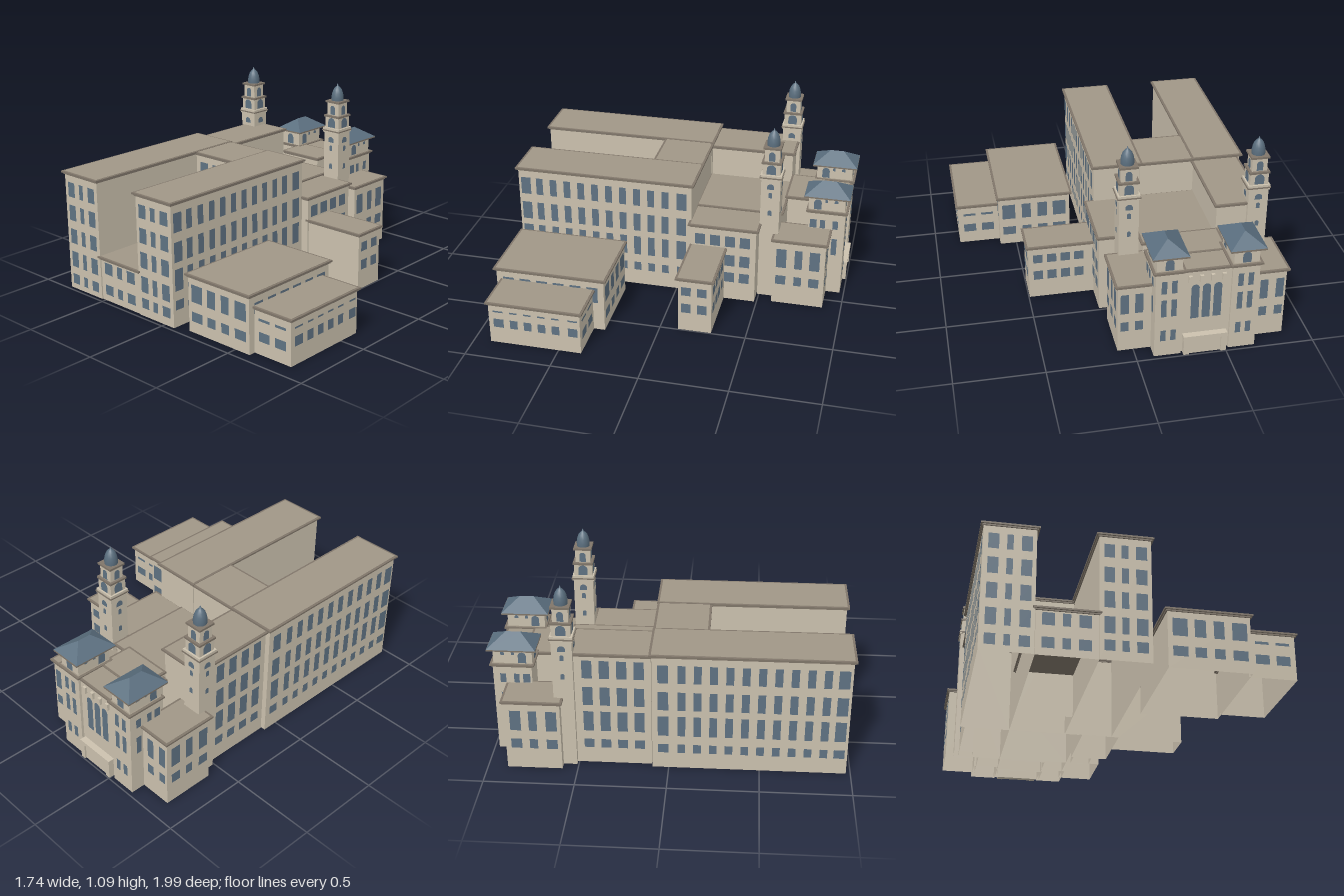
import * as THREE from 'three';
import { mergeGeometries } from 'three/addons/utils/BufferGeometryUtils.js';

const mat = (name, color) => Object.assign(new THREE.MeshStandardMaterial({ color }), { name });

export function createModel() {
  const root = new THREE.Group();
  root.name = 'building';
  const wall = mat('stone wall', 0xcbc1ae);
  wall.side = THREE.DoubleSide;
  const roof = mat('flat roof', 0xa09686);
  const trim = mat('cornice', 0x80766a);
  const glass = mat('window glass', 0x5f7282);
  const slate = mat('slate', 0x5a6e7e);
  slate.flatShading = false;

  const add = (parent, name, geo, material) => {
    const m = new THREE.Mesh(geo, material);
    m.name = name;
    parent.add(m);
    return m;
  };
  const box = (x0, x1, y0, y1, z0, z1) =>
    new THREE.BoxGeometry(x1 - x0, y1 - y0, z1 - z0).translate((x0 + x1) / 2, (y0 + y1) / 2, (z0 + z1) / 2);

  // Walls without a floor, open at the bottom
  const shell = (...b) => {
    const g = box(...b);
    const idx = Array.from(g.index.array);
    idx.splice(18, 6);
    g.setIndex(idx);
    g.clearGroups();
    return g;
  };

  // Block given by its eaves outline: walls, stepped cornice and flat roof
  function block(name, x0, x1, z0, z1, h, y0 = 0) {
    const group = new THREE.Group();
    group.name = name;
    root.add(group);
    const i = 0.015;
    const b = { group, x0: x0 + i, x1: x1 - i, z0: z0 + i, z1: z1 - i };
    add(group, 'walls', shell(b.x0, b.x1, y0, h - 0.008, b.z0, b.z1), wall);
    add(group, 'cornice', mergeGeometries([
      box(x0 + 0.008, x1 - 0.008, h - 0.02, h - 0.012, z0 + 0.008, z1 - 0.008),
      box(x0, x1, h - 0.012, h - 0.002, z0, z1),
    ]), trim);
    add(group, 'roof', box(x0 + 0.013, x1 - 0.013, h - 0.004, h, z0 + 0.013, z1 - 0.013), roof);
    return b;
  }

  // One window pane, optionally with a round head
  function pane(w, y0, y1, arch) {
    const s = new THREE.Shape();
    const r = w / 2;
    s.moveTo(-r, y0);
    s.lineTo(r, y0);
    if (arch) s.lineTo(r, y1 - r).absarc(0, y1 - r, r, 0, Math.PI, false);
    else s.lineTo(r, y1).lineTo(-r, y1);
    return new THREE.ShapeGeometry(s, 8);
  }
  // Grid of windows on a side of a block: cols [centre, width], rows [bottom, top]
  function windows(b, side, cols, rows, arch = false) {
    const e = 0.003;
    const geos = [];
    for (const [c, w] of cols) for (const [y0, y1] of rows) {
      const g = pane(w, y0, y1, arch);
      if (side === 'front') g.translate(c, 0, b.z1 + e);
      if (side === 'back') g.rotateY(Math.PI).translate(c, 0, b.z0 - e);
      if (side === 'right') g.rotateY(Math.PI / 2).translate(b.x1 + e, 0, c);
      if (side === 'left') g.rotateY(-Math.PI / 2).translate(b.x0 - e, 0, c);
      geos.push(g);
    }
    add(b.group, side + 'Windows', mergeGeometries(geos), glass);
  }
  const span = (a, b, n, w) => Array.from({ length: n }, (_, i) => [a + (b - a) * i / (n - 1), w]);

  // Two long wings with a court between them
  const sideRows = [[0.545, 0.655], [0.375, 0.49], [0.21, 0.335], [0.1, 0.155]];
  const sideCols = [[0.93, 0.06], ...span(0.845, 0.07, 10, 0.042), [-0.03, 0.058]];
  const wingA = block('westWing', -0.82, -0.513, -0.105, 0.99, 0.72);
  windows(wingA, 'front', [[-0.75, 0.056], [-0.665, 0.033], [-0.578, 0.056]],
    [[0.57, 0.658], [0.427, 0.52], [0.286, 0.375], [0.14, 0.235], [0.033, 0.094]]);
  windows(wingA, 'left', sideCols, sideRows);
  const wingC = block('eastWing', -0.217, 0.087, -0.105, 0.99, 0.72);
  windows(wingC, 'front', [[-0.15, 0.056], [-0.068, 0.037], [0.019, 0.06]],
    [[0.58, 0.658], [0.435, 0.523], [0.29, 0.384], [0.146, 0.24], [0.05, 0.11]]);
  windows(wingC, 'right', sideCols, sideRows);
  const midCols = [[-0.46, 0.065], [-0.367, 0.042], [-0.272, 0.065]];
  const link = block('courtBackBlock', -0.54, -0.19, -0.103, 0.21, 0.716);
  windows(link, 'front', midCols, [[0.583, 0.658], [0.453, 0.528], [0.33, 0.4]]);
  const low = block('courtFrontBlock', -0.54, -0.19, 0.16, 0.985, 0.265);
  windows(low, 'front', midCols, [[0.165, 0.235], [0.04, 0.1]]);

  // Rear blocks behind the wings
  const rearWest = block('rearWestBlock', -0.795, -0.51, -0.615, -0.08, 0.7);
  windows(rearWest, 'left', span(-0.16, -0.44, 4, 0.055), sideRows);
  block('rearMiddleBlock', -0.54, -0.1, -0.61, -0.08, 0.5);
  const rearEast = block('rearEastBlock', -0.115, 0.13, -0.5, -0.08, 0.49);
  windows(rearEast, 'right', span(-0.153, -0.42, 4, 0.06), [[0.36, 0.43], [0.23, 0.305], [0.12, 0.185]]);
  const annex = block('rearAnnex', 0.1, 0.51, -0.315, -0.09, 0.35);
  windows(annex, 'right', span(-0.153, -0.245, 2, 0.056), [[0.235, 0.29], [0.12, 0.18]]);
  windows(annex, 'back', span(0.2, 0.44, 4, 0.055), [[0.235, 0.29], [0.12, 0.18]]);

  // Detached hall and its lower extension
  const hall = block('hall', 0.143, 0.615, 0.287, 0.957, 0.337);
  const hallCols = [[0.223, 0.08], [0.33, 0.06], [0.43, 0.056], [0.54, 0.08]];
  const hallRows = [[0.18, 0.28], [0.067, 0.123]];
  windows(hall, 'front', hallCols, hallRows);
  windows(hall, 'back', hallCols, hallRows);
  windows(hall, 'right', span(0.87, 0.37, 6, 0.065), [[0.18, 0.28]]);
  const ext = block('hallExtension', 0.575, 0.865, 0.353, 0.917, 0.267);
  for (const s of ['front', 'back']) {
    windows(ext, s, [[0.67, 0.075], [0.782, 0.075]], [[0.077, 0.13], [0.19, 0.205]]);
  }
  windows(ext, 'right', [[0.845, 0.06], ...span(0.755, 0.51, 4, 0.045), [0.41, 0.055]], [[0.105, 0.16], [0.203, 0.213]]);

  // Corner pavilions beside the entrance
  const pavCols = [[-0.634, 0.06], [-0.735, 0.045], [-0.83, 0.06]];
  const pavRows = [[0.245, 0.37], [0.13, 0.19]];
  const pavE = block('eastPavilion', -0.13, 0.103, -0.905, -0.57, 0.432);
  windows(pavE, 'right', pavCols, pavRows);
  windows(pavE, 'back', span(-0.03, 0.05, 2, 0.045), pavRows);
  const pavW = block('westPavilion', -0.87, -0.64, -0.905, -0.57, 0.432);
  windows(pavW, 'left', pavCols, pavRows);
  windows(pavW, 'back', span(-0.82, -0.73, 2, 0.045), pavRows);

  // Entrance front with tall arched windows
  block('foyerBlock', -0.535, -0.23, -0.82, -0.6, 0.55);
  const entry = block('entranceFront', -0.54, -0.22, -0.975, -0.78, 0.545);
  windows(entry, 'back', span(-0.445, -0.32, 3, 0.045), [[0.22, 0.44]], true);
  for (let i = 0; i < 4; i++) {
    const x = -0.475 + i * 0.062;
    add(entry.group, 'corbel', box(x - 0.01, x + 0.01, 0.46, 0.5, -0.975, -0.955), wall);
  }
  // Entrance porch: piers, lintel and recessed panel
  const porch = new THREE.Group();
  porch.name = 'porch';
  root.add(porch);
  for (const x of [-0.485, -0.275]) add(porch, 'pier', box(x - 0.015, x + 0.015, 0, 0.1, -0.995, -0.95), wall);
  add(porch, 'lintel', box(-0.503, -0.257, 0.1, 0.122, -0.998, -0.95), wall);
  add(porch, 'panel', box(-0.475, -0.285, 0, 0.1, -0.985, -0.95), wall);

  // Hipped corner towers
  for (const cx of [-0.593, -0.173]) {
    const x0 = cx - 0.09, x1 = cx + 0.09;
    const base = block('entranceTower', x0, x1, -0.99, -0.745, 0.553);
    windows(base, 'back', span(cx - 0.028, cx + 0.028, 2, 0.03), [[0.41, 0.49], [0.26, 0.37], [0.1, 0.17]]);
    for (const s of ['left', 'right']) {
      windows(base, s, [[-0.79, 0.04], [-0.845, 0.03], [-0.92, 0.032]], [[0.435, 0.49]]);
      windows(base, s, [[-0.92, 0.032]], [[0.26, 0.37]]);
    }
    const top = { group: new THREE.Group(), x0: cx - 0.07, x1: cx + 0.07, z0: -0.97, z1: -0.755 };
    top.group.name = 'belvedere';
    root.add(top.group);
    add(top.group, 'walls', box(top.x0, top.x1, 0.54, 0.645, top.z0, top.z1), wall);
    for (const s of ['front', 'back']) windows(top, s, [[cx, 0.048]], [[0.556, 0.622]], true);
    for (const s of ['left', 'right']) {
      windows(top, s, [[-0.81, 0.045]], [[0.556, 0.622]], true);
      windows(top, s, [[-0.86, 0.016], [-0.918, 0.022]], [[0.605, 0.625]], true);
    }
    add(top.group, 'eaves', box(cx - 0.099, cx + 0.099, 0.638, 0.648, -1, -0.73), trim);
    let hip = new THREE.BoxGeometry(0.2, 0.065, 0.27);
    const p = hip.attributes.position;
    for (let i = 0; i < p.count; i++) {
      if (p.getY(i) > 0) p.setXYZ(i, 0, p.getY(i), Math.sign(p.getZ(i)) * 0.04);
    }
    hip = hip.toNonIndexed();
    hip.computeVertexNormals();
    add(top.group, 'hipRoof', hip, slate).position.set(cx, 0.68, -0.865);
  }

  // Domed bell towers
  for (const [cx, cz] of [[-0.753, -0.565], [-0.03, -0.545]]) {
    const group = new THREE.Group();
    group.name = 'bellTower';
    group.position.set(cx, 0, cz);
    root.add(group);
    const stage = (name, r, y0, y1, m = wall) => {
      add(group, name, (y0 === 0 ? shell : box)(-r, r, y0, y1, -r, r), m);
      return { group, x0: -r, x1: r, z0: -r, z1: r };
    };
    const shaft = stage('shaft', 0.056, 0, 0.785);
    stage('lowerBand', 0.062, 0.78, 0.79);
    stage('lowerLedge', 0.066, 0.79, 0.797, trim);
    stage('lowerParapet', 0.062, 0.797, 0.81);
    const mid = stage('middleStage', 0.052, 0.81, 0.88);
    stage('middleLedge', 0.058, 0.878, 0.89, trim);
    const top = stage('upperStage', 0.043, 0.89, 0.97);
    stage('topLedge', 0.052, 0.968, 0.98, trim);
    for (const s of ['front', 'back', 'left', 'right']) {
      windows(shaft, s, [[0, 0.042]], [[0.72, 0.755]], true);
      windows(shaft, s, [[0, 0.022]], [[0.665, 0.7], [0.55, 0.585]], true);
      windows(mid, s, [[0, 0.054]], [[0.815, 0.875]], true);
      windows(top, s, [[0, 0.036]], [[0.895, 0.952]], true);
    }
    const profile = [[0.037, 0], [0.038, 0.02], [0.034, 0.045], [0.026, 0.068], [0.014, 0.083],
      [0.005, 0.09], [0.003, 0.1], [0, 0.105]].map(([r, y]) => new THREE.Vector2(r, y));
    add(group, 'dome', new THREE.LatheGeometry(profile, 16), slate).position.y = 0.98;
  }
  return root;
}
